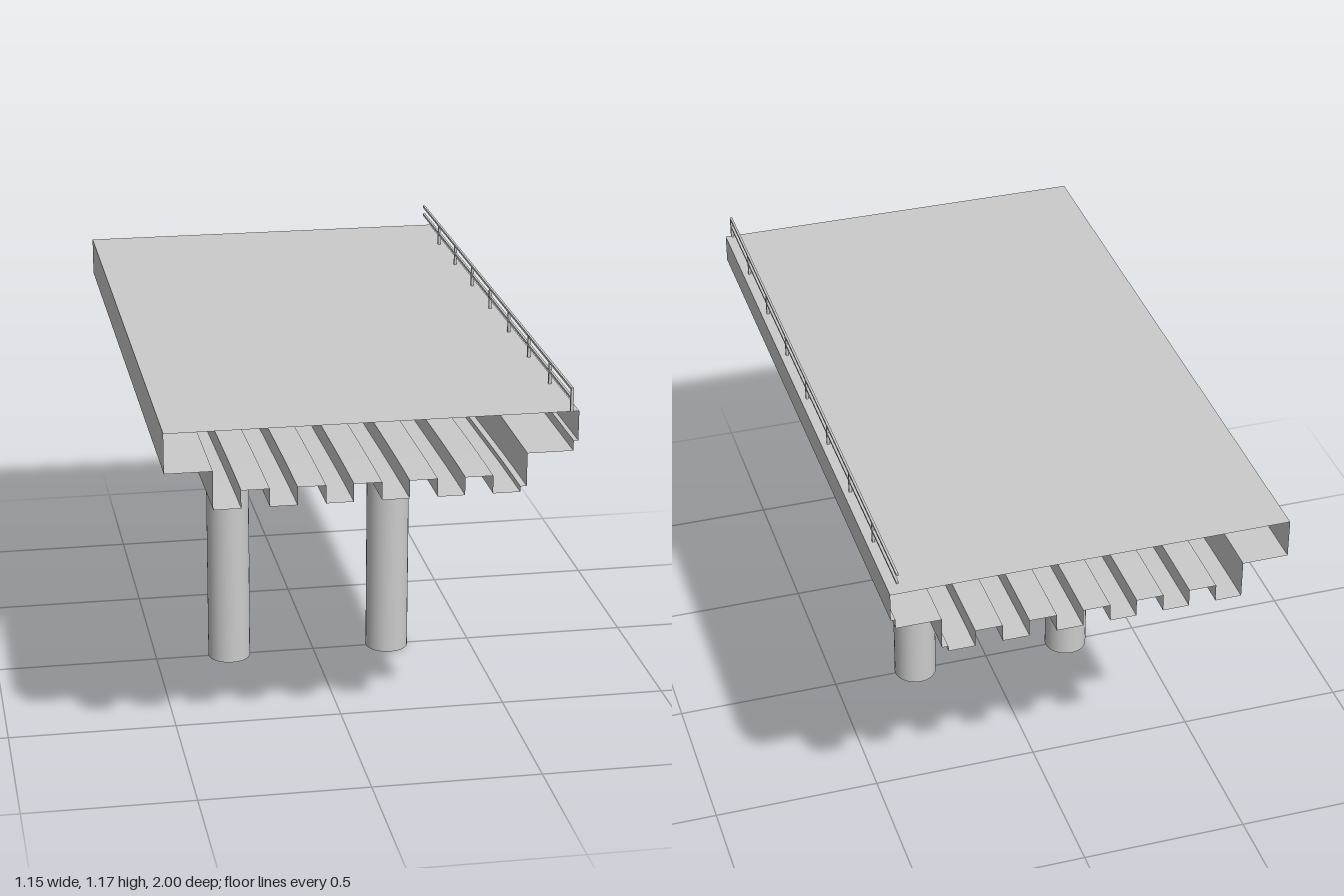
import * as THREE from 'three';

const grey = new THREE.MeshStandardMaterial({ color: 0xcccccc, side: THREE.DoubleSide });

function addMesh(parent, name, geometry, x = 0, y = 0, z = 0) {
  const mesh = new THREE.Mesh(geometry, grey);
  mesh.name = name;
  mesh.position.set(x, y, z);
  parent.add(mesh);
  return mesh;
}

// Undersides dip towards the pier in the middle of the span
const haunch = (z) => -0.011 * (1 + Math.cos(Math.PI * z));

// Open-ended shell swept along z; each profile edge is its own strip, so corners stay sharp
function sweepProfile(profile, steps = 24) {
  const positions = [], indices = [];
  profile.forEach((a, i) => {
    const b = profile[(i + 1) % profile.length];
    const start = positions.length / 3;
    for (let s = 0; s <= steps; s++) {
      const z = -1 + (2 * s) / steps;
      for (const [x, y, bends] of [a, b]) positions.push(x, y + (bends ? haunch(z) : 0), z);
      if (s < steps) {
        const k = start + s * 2;
        indices.push(k, k + 1, k + 2, k + 1, k + 3, k + 2);
      }
    }
  });
  const geometry = new THREE.BufferGeometry();
  geometry.setAttribute('position', new THREE.Float32BufferAttribute(positions, 3));
  geometry.setIndex(indices);
  geometry.computeVertexNormals();
  return geometry;
}

export function createModel() {
  const model = new THREE.Group();
  model.name = 'bridgeSection';

  // Deck with overhangs and six ribs below; third value marks points that follow the haunch
  const profile = [[0.573, 1.1], [-0.578, 1.1], [-0.578, 0.985], [-0.445, 0.985]];
  for (let i = 0; i < 6; i++) {
    const left = -0.445 + 0.156 * i, right = left + 0.077;
    if (i > 0) profile.push([left, 0.925, true]);
    profile.push([left, 0.873, true], [right, 0.873, true]);
    if (i < 5) profile.push([right, 0.925, true]);
  }
  profile.push([0.412, 0.889, true], [0.43, 0.889, true], [0.43, 0.985]);
  profile.push([0.56, 0.985], [0.56, 1.014], [0.573, 1.014]);
  addMesh(model, 'deck', sweepProfile(profile));

  // Pier: cross beam on two round columns
  const pier = new THREE.Group();
  pier.name = 'pier';
  model.add(pier);
  addMesh(pier, 'crossBeam', new THREE.BoxGeometry(0.838, 0.131, 0.18), -0.016, 0.7855, 0);
  const column = new THREE.CylinderGeometry(0.066, 0.066, 0.72, 32, 1, true);
  for (const x of [-0.269, 0.237]) addMesh(pier, 'column', column, x, 0.36, 0);

  // Railing along the left edge
  const railing = new THREE.Group();
  railing.name = 'railing';
  model.add(railing);
  const post = new THREE.BoxGeometry(0.008, 0.068, 0.008);
  for (let i = 0; i < 8; i++) {
    addMesh(railing, 'post', post, 0.552, 1.132, Math.min(1 - i * 0.25, 0.996));
  }
  const rail = new THREE.BoxGeometry(0.007, 0.007, 2);
  for (const y of [1.137, 1.164]) addMesh(railing, 'rail', rail, 0.552, y, 0);

  return model;
}
